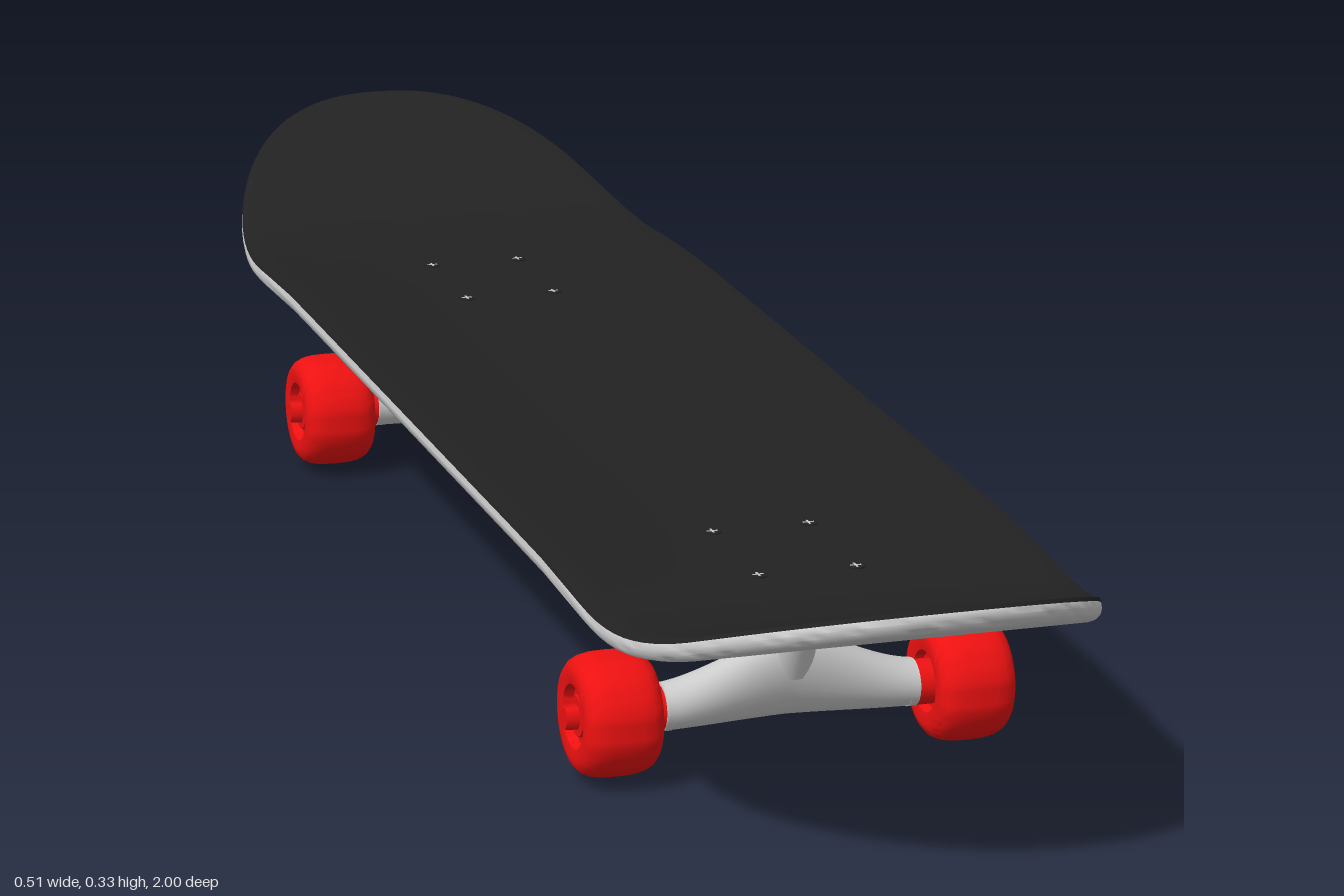
import * as THREE from 'three';
import { toCreasedNormals } from 'three/addons/utils/BufferGeometryUtils.js';

const grey = new THREE.MeshStandardMaterial({ color: 0xcccccc });
const black = new THREE.MeshStandardMaterial({ color: 0x222222 });
const red = new THREE.MeshStandardMaterial({ color: 0xee1111 });
const V = (x, y, z) => new THREE.Vector3(x, y, z);

function add(parent, name, geometry, material = grey, pos = [0, 0, 0]) {
  const mesh = new THREE.Mesh(geometry, material);
  mesh.name = name;
  mesh.position.set(...pos);
  parent.add(mesh);
  return mesh;
}

// Skin over closed rings of equal point count
function loft(rings, crease) {
  const n = rings[0].length, index = [];
  for (let i = 0; i < rings.length - 1; i++) {
    for (let j = 0; j < n; j++) {
      const a = i * n + j, b = i * n + (j + 1) % n;
      index.push(a, b, b + n, a, b + n, a + n);
    }
  }
  const g = new THREE.BufferGeometry().setFromPoints(rings.flat());
  g.setIndex(index);
  g.computeVertexNormals();
  return crease ? toCreasedNormals(g, crease) : g;
}

// Round bar between two points
function bar(parent, name, a, b, ra, rb, sides = 24) {
  const d = b.clone().sub(a);
  const mesh = add(parent, name, new THREE.CylinderGeometry(rb, ra, d.length(), sides));
  mesh.position.copy(a).addScaledVector(d, 0.5);
  mesh.quaternion.setFromUnitVectors(V(0, 1, 0), d.normalize());
  return mesh;
}

// Deck surface: flat middle, kicked ends, raised side edges
const HALF = 0.255, END = 0.42;
function deckHeight(x, z) {
  const d = Math.max(0, Math.abs(z) - 0.64), bend = 0.2, slope = 0.41;
  const kick = d < bend ? slope * d * d / (2 * bend) : slope * (d - bend / 2);
  const fade = 1 - THREE.MathUtils.smoothstep(Math.abs(z), 0.45, 0.75);
  return 0.221 + kick + 0.012 * fade * Math.abs(x / HALF) ** 2.5;
}

// Slab following the deck; rim = [inset, height] from bottom to top
function slab(rim) {
  const stations = [], N = 32, M = 20;
  for (let i = 0; i <= N; i++) {
    const t = (1 - i / N) * Math.PI / 2, p = 2 / 2.3;
    stations.push([1 - END + END * Math.sin(t) ** p, Math.max(0, Math.cos(t)) ** p]);
  }
  const all = stations.map(([z, w]) => [-z, w]);
  for (let i = 1; i < 12; i++) all.push([(1 - END) * (i / 6 - 1), 1]);
  all.push(...stations.reverse());
  const section = [];
  for (let j = 0; j < M; j++) section.push([j / M * 2 - 1, ...rim[0]]);
  rim.forEach(r => section.push([1, ...r]));
  for (let j = 1; j < M; j++) section.push([1 - j / M * 2, ...rim[rim.length - 1]]);
  [...rim].reverse().slice(0, -1).forEach(r => section.push([-1, ...r]));
  return loft(all.map(([s, w]) => section.map(([u, inset, dy]) => {
    const x = u * w * (HALF - inset), z = s * (1 - inset);
    return V(x, deckHeight(x, z) + dy, z);
  })), 0.7);
}

// Wheel turned about the axle; profile gives radius and distance from centre
function wheel() {
  const g = new THREE.Group();
  const profile = [[0.012, 0.162], [0.03, 0.161], [0.033, 0.152], [0.045, 0.15], [0.053, 0.152],
    [0.059, 0.157], [0.063, 0.165], [0.065, 0.176], [0.0655, 0.192], [0.065, 0.209], [0.063, 0.22],
    [0.059, 0.228], [0.053, 0.233], [0.045, 0.235], [0.034, 0.233], [0.031, 0.223], [0.023, 0.223],
    [0.021, 0.229], [0, 0.229]].map(p => new THREE.Vector2(...p));
  add(g, 'tyre', toCreasedNormals(new THREE.LatheGeometry(profile, 48), 0.6), red);
  add(g, 'axleNut', new THREE.CylinderGeometry(0.013, 0.014, 0.018, 6), red, [0, 0.234, 0]);
  add(g, 'axleCollar', new THREE.CylinderGeometry(0.024, 0.024, 0.032, 32), red, [0, 0.148, 0]);
  return g;
}

// Truck with its axle at z = 0 and its outer end towards +z
function truck() {
  const g = new THREE.Group(), axleY = 0.07;

  // Baseplate with rounded corners
  const s = new THREE.Shape(), w = 0.07, l = 0.1, r = 0.018;
  s.absarc(w - r, l - r, r, 0, Math.PI / 2);
  s.absarc(-w + r, l - r, r, Math.PI / 2, Math.PI);
  s.absarc(-w + r, -l + r, r, Math.PI, Math.PI * 1.5);
  s.absarc(w - r, -l + r, r, Math.PI * 1.5, Math.PI * 2);
  const plate = new THREE.ExtrudeGeometry(s, { depth: 0.011, bevelEnabled: false });
  plate.rotateX(-Math.PI / 2);
  add(g, 'baseplate', plate, grey, [0, 0.188, -0.012]);

  // Pivot housing: wedge narrowing downwards
  const wedge = new THREE.Shape([[0.083, 0.192], [0.036, 0.14], [0.022, 0.15], [0.0, 0.192]]
    .map(p => new THREE.Vector2(...p)));
  const housing = new THREE.ExtrudeGeometry(wedge, { depth: 0.07, bevelEnabled: false });
  housing.rotateY(-Math.PI / 2).translate(0.035, 0, 0);
  const hp = housing.attributes.position;
  for (let i = 0; i < hp.count; i++) hp.setX(i, hp.getX(i) * (0.85 + (hp.getY(i) - 0.14) * 3));
  housing.computeVertexNormals();
  add(g, 'pivotHousing', housing);

  // Hanger: oval sections along x, swelling towards the middle
  const rings = [];
  for (let i = 0; i <= 32; i++) {
    const x = 0.137 * (i / 16 - 1), k = 1 - THREE.MathUtils.smoothstep(Math.abs(x), -0.02, 0.15);
    const top = 0.096 + 0.052 * k, bottom = 0.046, ring = [];
    for (let j = 0; j < 24; j++) {
      const a = j / 24 * Math.PI * 2, c = Math.sin(a);
      ring.push(V(x, (top + bottom) / 2 + c * (top - bottom) / 2,
        0.026 * Math.cos(a) + 0.012 * k * c));
    }
    rings.push(ring.reverse());
  }
  add(g, 'hanger', loft(rings));
  for (const sx of [-1, 1]) bar(g, 'hangerEnd', V(sx * 0.13, 0.071, 0), V(sx * 0.139, 0.071, 0), 0.0255, 0.0255);
  bar(g, 'pivotArm', V(0, 0.11, 0.005), V(0, 0.168, 0.042), 0.026, 0.016);

  // Kingpin stack, tilted inwards at the bottom
  const top = V(0, 0.195, -0.052), low = V(0, 0.08, -0.086);
  const at = t => top.clone().lerp(low, t);
  [['kingpinSeat', 0, 0.22, 0.036, 0.03], ['upperBushing', 0.22, 0.46, 0.026, 0.029],
    ['hangerRing', 0.44, 0.6, 0.033, 0.033], ['lowerBushing', 0.6, 0.8, 0.027, 0.021],
    ['washer', 0.8, 0.84, 0.024, 0.024], ['kingpin', 0.84, 1, 0.008, 0.008]]
    .forEach(([name, a, b, ra, rb]) => bar(g, name, at(a), at(b), ra, rb));
  bar(g, 'kingpinNut', at(0.84), at(0.95), 0.016, 0.016, 6);
  // Webs tying the ring to the hanger
  for (const sx of [-1, 1]) bar(g, 'hangerWeb', V(sx * 0.022, 0.125, -0.07), V(sx * 0.03, 0.085, 0), 0.011, 0.016);

  // Mounting bolts through the deck
  for (const x of [-0.053, 0.053]) for (const z of [-0.093, 0.048]) {
    add(g, 'mountingNut', new THREE.CylinderGeometry(0.014, 0.014, 0.013, 6), grey, [x, 0.182, z]);
    add(g, 'boltTip', new THREE.CylinderGeometry(0.007, 0.007, 0.01, 12), grey, [x, 0.174, z]);
    add(g, 'boltHead', new THREE.CylinderGeometry(0.01, 0.01, 0.004, 16), black, [x, 0.2215, z]);
    for (const turn of [0, Math.PI / 2])
      add(g, 'boltSlot', new THREE.BoxGeometry(0.012, 0.001, 0.002), grey, [x, 0.2235, z]).rotation.y = turn;
  }

  // Wheels on both ends of the axle
  for (const sx of [-1, 1]) {
    const wh = wheel();
    wh.name = sx > 0 ? 'leftWheel' : 'rightWheel';
    wh.position.y = axleY;
    wh.rotation.z = -sx * Math.PI / 2;
    g.add(wh);
  }
  return g;
}

export function createModel() {
  const model = new THREE.Group(), board = new THREE.Group();
  model.name = 'skateboard';
  board.name = 'board';
  add(board, 'deck', slab([[0.012, -0.024], [0.005, -0.022], [0.001, -0.017], [0, -0.011], [0.001, -0.005], [0.004, -0.001]]));
  add(board, 'gripTape', slab([[0.0005, -0.004], [0.0025, 0.0005], [0.005, 0.0012]]), black);

  [['frontTruck', 1], ['backTruck', -1]].forEach(([name, side]) => {
    const t = truck();
    t.name = name;
    t.position.z = side * 0.53;
    if (side < 0) t.rotation.y = Math.PI;
    board.add(t);
  });

  // The board leans slightly to one side
  board.rotation.z = -0.018;
  board.position.set(-0.004, 0, 0);
  model.add(board);
  return model;
}
